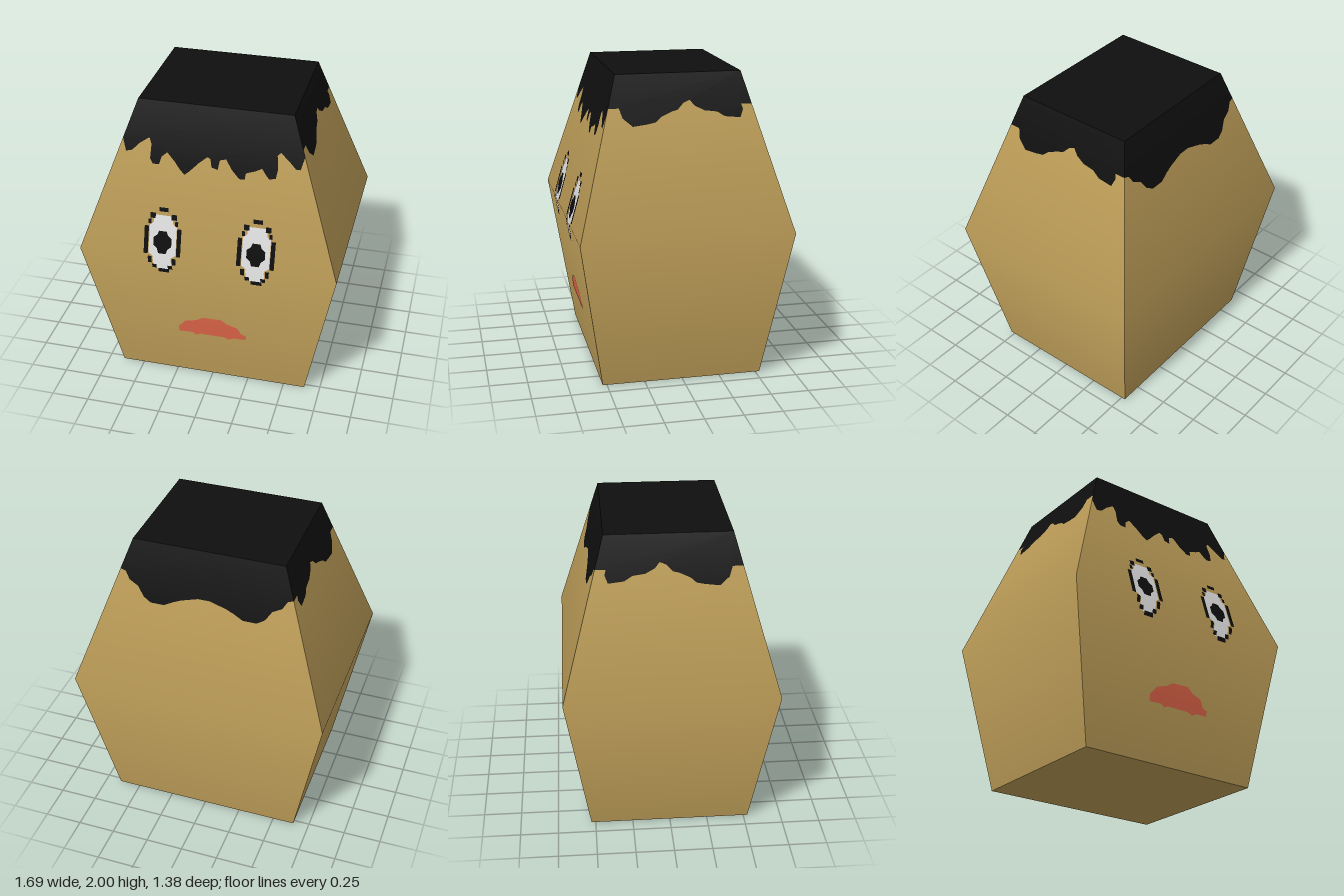
import * as THREE from 'three';
import { mergeGeometries } from 'three/addons/utils/BufferGeometryUtils.js';

// Head cross-sections: height, half width (x), half depth (z)
const RINGS = [[0, 0.645, 0.528], [1.01, 0.845, 0.685], [2, 0.495, 0.402]];
const MID = RINGS[1][0], TOP = RINGS[2][0];

const half = (y, axis) => {
  const [a, b] = y < MID ? [RINGS[0], RINGS[1]] : [RINGS[1], RINGS[2]];
  return THREE.MathUtils.lerp(a[axis], b[axis], (y - a[0]) / (b[0] - a[0]));
};

// Keep the part of a polygon above (sign 1) or below (sign -1) the widest ring
function clip(points, sign) {
  const out = [];
  points.forEach((p, i) => {
    const q = points[(i + 1) % points.length];
    const a = (p[1] - MID) * sign, b = (q[1] - MID) * sign;
    if (a >= 0) out.push(p);
    if (a * b < 0) out.push([p[0] + (q[0] - p[0]) * a / (a - b), MID]);
  });
  return out;
}

// Lay a flat (u, y) polygon on one side of the head: 0 front, 1 left, 2 back, 3 right
function sheet(side, points, lift = 0) {
  const axis = side % 2 ? 1 : 2;
  const slope = (a, b) => (b[axis] - a[axis]) / (b[0] - a[0]);
  const low = new THREE.Vector3(0, -slope(RINGS[0], RINGS[1]), 1).normalize();
  const high = new THREE.Vector3(0, -slope(RINGS[1], RINGS[2]), 1).normalize();
  const mid = low.clone().add(high).normalize();
  const parts = [-1, 1].map(s => clip(points, s)).filter(p => p.length > 2).map(p => {
    const g = new THREE.ShapeGeometry(new THREE.Shape(p.map(([x, y]) => new THREE.Vector2(x, y))));
    const pos = g.attributes.position, n = new THREE.Vector3();
    for (let i = 0; i < pos.count; i++) {
      const y = pos.getY(i);
      pos.setZ(i, half(y, axis) + lift);
      if (y < MID) n.lerpVectors(low, mid, y / MID);
      else n.lerpVectors(mid, high, (y - MID) / (TOP - MID));
      n.normalize();
      g.attributes.normal.setXYZ(i, n.x, n.y, n.z);
    }
    return g;
  });
  return mergeGeometries(parts).rotateY(side * Math.PI / 2);
}

const mirror = pts => pts.map(([x, y]) => [-x, y]).reverse();
const rect = (x, y, w, h) => [[x - w / 2, y - h / 2], [x + w / 2, y - h / 2], [x + w / 2, y + h / 2], [x - w / 2, y + h / 2]];

// Ragged hairlines, listed from left to right on each side
const FRINGE = [[-0.585, 1.75], [-0.56, 1.67], [-0.52, 1.68], [-0.47, 1.73], [-0.41, 1.77], [-0.395, 1.73],
  [-0.4, 1.64], [-0.38, 1.61], [-0.34, 1.61], [-0.325, 1.66], [-0.29, 1.69], [-0.24, 1.64], [-0.2, 1.59],
  [-0.17, 1.565], [-0.14, 1.59], [-0.08, 1.65], [-0.03, 1.69], [-0.01, 1.68], [0, 1.63], [0.04, 1.62],
  [0.05, 1.68], [0.09, 1.69], [0.13, 1.63], [0.18, 1.58], [0.215, 1.58], [0.22, 1.62], [0.28, 1.64],
  [0.32, 1.66], [0.35, 1.62], [0.37, 1.6], [0.41, 1.61], [0.42, 1.67], [0.41, 1.75], [0.43, 1.77],
  [0.5, 1.71], [0.53, 1.68], [0.56, 1.68], [0.58, 1.76]];
const TEMPLE = [[-0.457, 1.8], [-0.39, 1.8], [-0.37, 1.74], [-0.31, 1.69], [-0.22, 1.7], [-0.165, 1.71],
  [-0.13, 1.74], [-0.06, 1.77], [-0.02, 1.78], [0.02, 1.82], [0.06, 1.835], [0.09, 1.8], [0.15, 1.77],
  [0.23, 1.76], [0.28, 1.73], [0.38, 1.72], [0.4, 1.77], [0.39, 1.8], [0.46, 1.8]];
const NAPE_HALF = [[0.04, 1.7], [0.15, 1.67], [0.2, 1.65], [0.26, 1.62], [0.35, 1.62], [0.4, 1.65],
  [0.44, 1.71], [0.5, 1.74], [0.53, 1.79], [0.57, 1.8]];
const HAIRLINES = [FRINGE, TEMPLE, [...mirror(NAPE_HALF), ...NAPE_HALF], mirror(TEMPLE)];
const SIDES = ['front', 'left', 'back', 'right'];

// Eye and mouth outlines
const WHITE_HALF = [[0.045, -0.195], [0.06, -0.16], [0.06, -0.1], [0.09, -0.08], [0.09, 0.1], [0.065, 0.12], [0.06, 0.17]];
const PUPIL_HALF = [[0.025, -0.075], [0.035, -0.045], [0.06, -0.025], [0.06, 0.025], [0.035, 0.045], [0.025, 0.07]];
const DASHES = [[0.108, 0.005, 0.028, 0.18], [0.07, 0.165, 0.035, 0.035], [0.088, 0.125, 0.02, 0.03],
  [0.08, -0.125, 0.025, 0.05], [0.052, -0.175, 0.03, 0.03]];
const MOUTH = [[-0.215, 0.375], [-0.12, 0.38], [-0.1, 0.36], [-0.07, 0.375], [0.1, 0.375], [0.13, 0.36], [0.17, 0.38],
  [0.245, 0.38], [0.25, 0.415], [0.215, 0.43], [0.19, 0.48], [0.125, 0.5], [0.08, 0.535], [-0.045, 0.53],
  [-0.09, 0.5], [-0.165, 0.48], [-0.215, 0.42]];

export function createModel() {
  const model = new THREE.Group();
  model.name = 'head';
  const material = (name, color) => Object.assign(new THREE.MeshStandardMaterial({ color }), { name });
  const skin = material('skin', 0xbf9f59);
  const black = material('black', 0x0f0f0f);
  const white = material('eyeWhite', 0xf6f6f6);
  const red = material('lips', 0xdb6347);
  const add = (name, geometry, mat, parent = model) => {
    const mesh = new THREE.Mesh(geometry, mat);
    mesh.name = name;
    parent.add(mesh);
    return mesh;
  };

  // Four sides, each split into skin and hair along its hairline
  SIDES.forEach((name, side) => {
    const w = side % 2 ? 2 : 1;
    const line = HAIRLINES[side].map(p => [...p]);
    const first = line[0], last = line[line.length - 1];
    first[0] = -half(first[1], w);
    last[0] = half(last[1], w);
    const [b, m, t] = RINGS.map(r => r[w]);
    add(name + 'Skin', sheet(side, [[-m, MID], [-b, 0], [b, 0], [m, MID], ...[...line].reverse()]), skin);
    add(name + 'Hair', sheet(side, [...line, [t, TOP], [-t, TOP]]), black);
  });

  // Flat crown and chin
  const cap = ([, w, d]) => new THREE.PlaneGeometry(2 * w, 2 * d);
  add('crownHair', cap(RINGS[2]).rotateX(-Math.PI / 2).translate(0, TOP, 0), black);
  add('chin', cap(RINGS[0]).rotateX(Math.PI / 2), skin);

  // Eyes: white, pupil and a broken outline
  for (const [name, cx] of [['rightEye', -0.29], ['leftEye', 0.322]]) {
    const eye = new THREE.Group();
    eye.name = name;
    model.add(eye);
    const place = pts => pts.map(([x, y]) => [x + cx, y + 1.125]);
    const both = pts => place([...pts, ...mirror(pts)]);
    add('eyeWhite', sheet(0, both(WHITE_HALF), 0.003), white, eye);
    add('pupil', sheet(0, both(PUPIL_HALF), 0.006), black, eye);
    const dashes = DASHES.flatMap(([x, y, w, h]) => [rect(x, y, w, h), rect(-x, y, w, h)]);
    dashes.push(rect(0, 0.208, 0.06, 0.026), rect(0.008, -0.205, 0.07, 0.03));
    add('eyeOutline', mergeGeometries(dashes.map(d => sheet(0, place(d), 0.006))), black, eye);
  }

  add('mouth', sheet(0, MOUTH, 0.004), red);
  return model;
}
